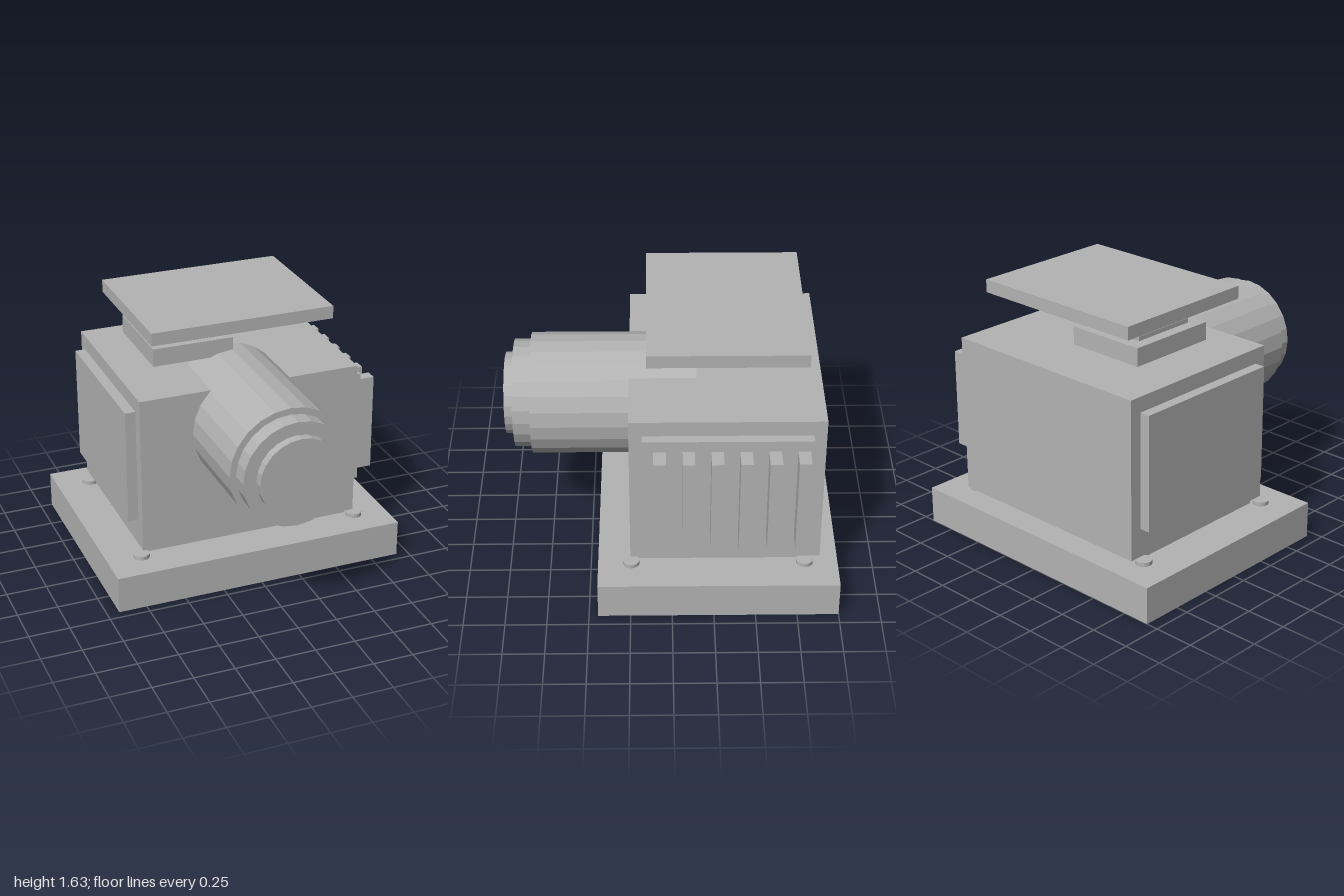
import * as THREE from 'three';

export function createModel() {
  const model = new THREE.Group();
  const grey = new THREE.MeshStandardMaterial({ color: 0xb3b3b3, flatShading: true });
  grey.name = 'grey';

  const add = (name, geometry) => {
    const mesh = new THREE.Mesh(geometry, grey);
    mesh.name = name;
    model.add(mesh);
    return mesh;
  };
  // Box given by its extents along each axis
  const box = (name, x0, x1, y0, y1, z0, z1) =>
    add(name, new THREE.BoxGeometry(x1 - x0, y1 - y0, z1 - z0))
      .position.set((x0 + x1) / 2, (y0 + y1) / 2, (z0 + z1) / 2);
  // Cylinder lying along z, on the barrel axis
  const barrel = (name, r, z0, z1) =>
    add(name, new THREE.CylinderGeometry(r, r, z1 - z0, 24).rotateX(Math.PI / 2))
      .position.set(0, 0.995, (z0 + z1) / 2);

  // Base, plinth and housing
  box('base', -0.925, 0.925, 0, 0.23, -1, 0.445);
  box('plinth', -0.665, 0.665, 0.23, 0.275, -0.78, 0.2);
  box('housing', -0.7, 0.7, 0.272, 1.265, -0.89, 0.25);

  // Bolts at the four corners
  for (const x of [-0.71, 0.71]) {
    for (const z of [-0.8, 0.245]) {
      add('bolt', new THREE.CylinderGeometry(0.05, 0.05, 0.025, 16)).position.set(x, 0.2425, z);
    }
  }

  // Side panels, with cooling fins on the left one
  box('rightPanel', -0.765, -0.7, 0.45, 1.17, -0.815, 0.175);
  box('leftPanel', 0.7, 0.76, 0.45, 1.17, -0.815, 0.175);
  for (let i = 0; i < 6; i++) {
    const z = 0.072 - i * 0.166;
    box('coolingFin', 0.76, 0.885, 0.48, 1.1, z - 0.036, z + 0.036);
  }

  // Stepped barrel at the front
  barrel('barrel', 0.37, -0.15, 0.84);
  barrel('barrelRing', 0.33, 0.84, 0.945);
  barrel('barrelCap', 0.25, 0.945, 1);

  // Raised box with its lid, and the cover plate above
  box('topBox', -0.505, 0.005, 1.333, 1.445, -0.63, -0.05);
  box('topBoxLid', -0.435, -0.065, 1.445, 1.472, -0.545, -0.13);
  box('coverPlate', -0.58, 0.577, 1.555, 1.635, -0.785, 0.145);

  return model;
}
